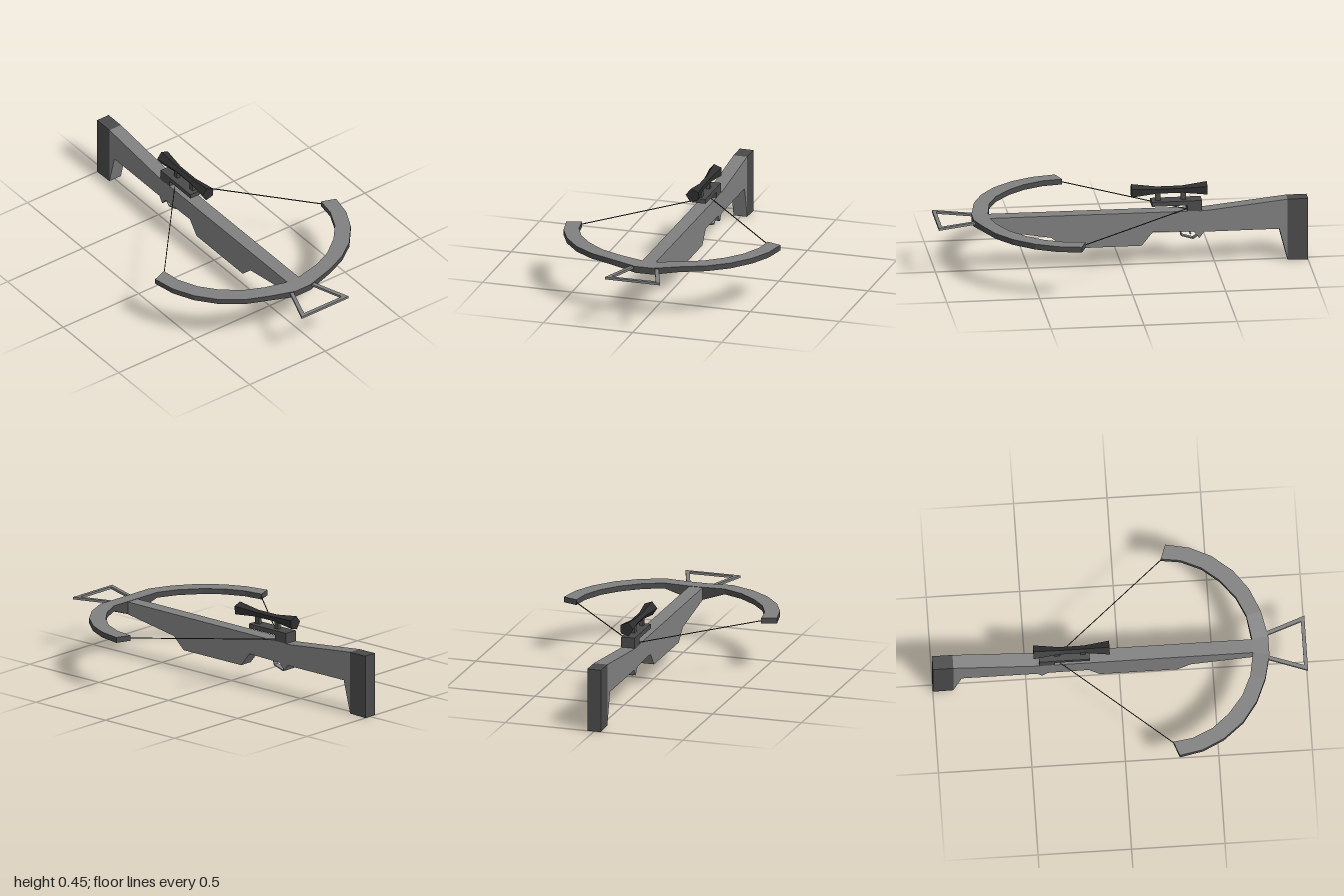
import * as THREE from 'three';

const mat = (name, color) => new THREE.MeshStandardMaterial({ name, color, flatShading: true });

export function createModel() {
  const model = new THREE.Group();
  model.name = 'crossbow';
  const grey = mat('mid grey', 0x808080);
  const dark = mat('dark grey', 0x4a4a4a);
  const black = mat('near black', 0x2e2e2e);

  const add = (name, geometry, material) => {
    const mesh = new THREE.Mesh(geometry, material);
    mesh.name = name;
    model.add(mesh);
    return mesh;
  };
  // side profile given as [z, y], extruded symmetrically across x
  const sideProfile = (points, width) => {
    const shape = new THREE.Shape(points.map(([z, y]) => new THREE.Vector2(z, y)));
    return new THREE.ExtrudeGeometry(shape, { depth: width, bevelEnabled: false })
      .rotateY(-Math.PI / 2).translate(width / 2, 0, 0);
  };
  // box spanning z0..z1 and y0..y1
  const block = (name, width, y0, y1, z0, z1, material) => {
    const g = new THREE.BoxGeometry(width, y1 - y0, z1 - z0);
    add(name, g.translate(0, (y0 + y1) / 2, (z0 + z1) / 2), material);
  };
  // thin bar between two points
  const bar = (name, a, b, width, height, material) => {
    const p = new THREE.Vector3(...a), q = new THREE.Vector3(...b);
    const mesh = add(name, new THREE.BoxGeometry(width, height, p.distanceTo(q)), material);
    mesh.position.copy(p).add(q).multiplyScalar(0.5);
    mesh.lookAt(q);
  };

  // stock and butt
  const W = 0.076;
  add('stock', sideProfile([
    [0.715, 0.235], [0.715, 0.303], [-0.45, 0.299], [-0.89, 0.345], [-0.89, 0.005],
    [-0.845, 0.18], [-0.44, 0.18], [-0.415, 0.145], [-0.385, 0.184],
    [-0.165, 0.19], [-0.105, 0.115], [0.31, 0.115], [0.38, 0.18],
  ], W), grey);
  add('butt', sideProfile([
    [-0.89, 0.004], [-0.89, 0.345], [-1, 0.345], [-1, 0],
  ].reverse(), W), dark);

  // bow limbs: outer x,z, inner x,z, then outer top, inner top, inner bottom, outer bottom
  const T = 0.315, B = 0.285;
  const half = [
    [0.05, 0.80, 0.038, 0.712, 0.301, 0.305, 0.235, 0.265],
    [0.19, 0.77, 0.17, 0.69, T, T, B, B],
    [0.32, 0.715, 0.28, 0.64, T, T, B, B],
    [0.43, 0.635, 0.38, 0.56, T, T, B, B],
    [0.52, 0.525, 0.455, 0.47, T, T, B, B],
    [0.575, 0.41, 0.505, 0.36, T, T, B, B],
    [0.60, 0.285, 0.52, 0.255, T, T, B, B],
  ];
  const ring = (s, side) => [
    [side * s[0], s[4], s[1]], [side * s[2], s[5], s[3]],
    [side * s[2], s[6], s[3]], [side * s[0], s[7], s[1]],
  ];
  const rings = [...half.map(s => ring(s, -1)).reverse(), ...half.map(s => ring(s, 1))];
  const tops = [], sides = [];
  const quad = (out, a, b, c, d) => out.push(...a, ...b, ...c, ...a, ...c, ...d);
  for (let i = 0; i < rings.length - 1; i++) {
    for (let k = 0; k < 4; k++) {
      const n = (k + 1) % 4;
      quad(k === 0 ? tops : sides, rings[i][k], rings[i + 1][k], rings[i + 1][n], rings[i][n]);
    }
  }
  quad(sides, ...rings[0]);
  quad(sides, ...[...rings[rings.length - 1]].reverse());
  const faces = list => {
    const g = new THREE.BufferGeometry();
    g.setAttribute('position', new THREE.Float32BufferAttribute(list, 3));
    g.computeVertexNormals();
    return g;
  };
  add('limbTop', faces(tops), grey);
  add('limbSides', faces(sides), dark);

  // foot stirrup, an open trapezoid lying flat
  const flat = pts => pts.map(([x, z]) => new THREE.Vector2(x, z));
  const stirrup = new THREE.Shape(flat([[-0.068, 0.76], [0.068, 0.76], [0.155, 1], [-0.155, 1]]));
  stirrup.holes.push(new THREE.Path(flat([[-0.05, 0.77], [-0.124, 0.98], [0.124, 0.98], [0.05, 0.77]])));
  add('stirrup', new THREE.ExtrudeGeometry(stirrup, { depth: 0.013, bevelEnabled: false })
    .rotateX(Math.PI / 2).translate(0, 0.298, 0), grey);

  // bowstring
  for (const s of [-1, 1]) bar('string', [s * 0.525, 0.3, 0.262], [0, 0.3, -0.35], 0.004, 0.004, black);

  // trigger guard and trigger
  const guard = [[0.188, -0.317], [0.156, -0.32], [0.136, -0.385], [0.155, -0.41]];
  for (let i = 0; i < guard.length - 1; i++) {
    bar('triggerGuard', [0, ...guard[i]], [0, ...guard[i + 1]], 0.03, 0.006, grey);
  }
  bar('trigger', [0, 0.19, -0.36], [0, 0.158, -0.372], 0.012, 0.008, dark);

  // scope mount
  block('mountBase', W, 0.295, 0.333, -0.43, -0.35, dark);
  block('mountRail', W, 0.332, 0.357, -0.43, -0.16, dark);
  for (const z of [-0.195, -0.333]) block('mountPost', 0.02, 0.355, 0.4, z - 0.014, z + 0.014, dark);

  // five-sided scope, narrow in the middle
  const profile = [[0, -0.46], [0.039, -0.46], [0.021, -0.325], [0.021, -0.19], [0.039, -0.053], [0, -0.053]];
  add('scope', new THREE.LatheGeometry(profile.map(([r, z]) => new THREE.Vector2(r, z)), 5)
    .rotateX(Math.PI / 2).rotateZ(-Math.PI / 2 - 0.05).translate(0, 0.411, 0), black);

  return model;
}
